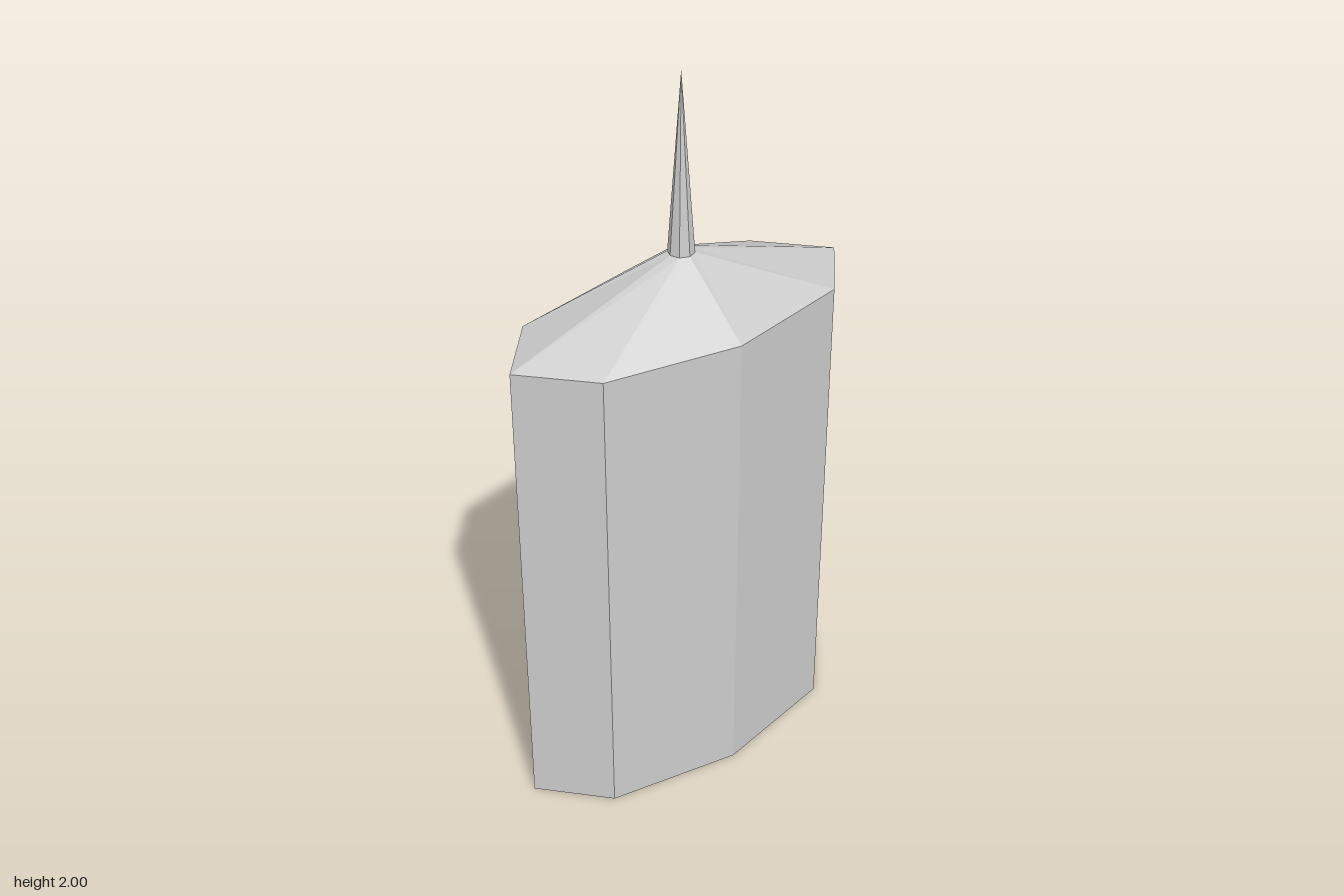
import * as THREE from 'three';

const SIDES = 8;
const HALF_WIDTH = 0.52, HALF_DEPTH = 0.24;
const WALL_TOP = 1.36, SPIRE_BASE = 1.52, SPIRE_RADIUS = 0.035, TOP = 2;

export function createModel() {
  const model = new THREE.Group();
  const material = new THREE.MeshStandardMaterial({ color: 0xcccccc, flatShading: true });

  const add = (name, geometry) => {
    const mesh = new THREE.Mesh(geometry, material);
    mesh.name = name;
    model.add(mesh);
  };

  // Flattened octagonal tower body
  const body = new THREE.CylinderGeometry(1, 1, WALL_TOP, SIDES);
  body.scale(HALF_WIDTH, 1, HALF_DEPTH).translate(0, WALL_TOP / 2, 0);
  add('towerBody', body);

  // Roof blends from the flattened octagon to the round foot of the spire
  const rise = SPIRE_BASE - WALL_TOP;
  const roof = new THREE.CylinderGeometry(1, 1, rise, SIDES, 1, true);
  roof.translate(0, WALL_TOP + rise / 2, 0);
  const p = roof.attributes.position;
  for (let i = 0; i < p.count; i++) {
    const upper = p.getY(i) > WALL_TOP + rise / 2;
    p.setX(i, p.getX(i) * (upper ? SPIRE_RADIUS : HALF_WIDTH));
    p.setZ(i, p.getZ(i) * (upper ? SPIRE_RADIUS : HALF_DEPTH));
  }
  roof.computeVertexNormals();
  add('roof', roof);

  // Needle spire
  const spire = new THREE.ConeGeometry(SPIRE_RADIUS, TOP - SPIRE_BASE, SIDES);
  spire.translate(0, (TOP + SPIRE_BASE) / 2, 0);
  add('spire', spire);

  return model;
}
